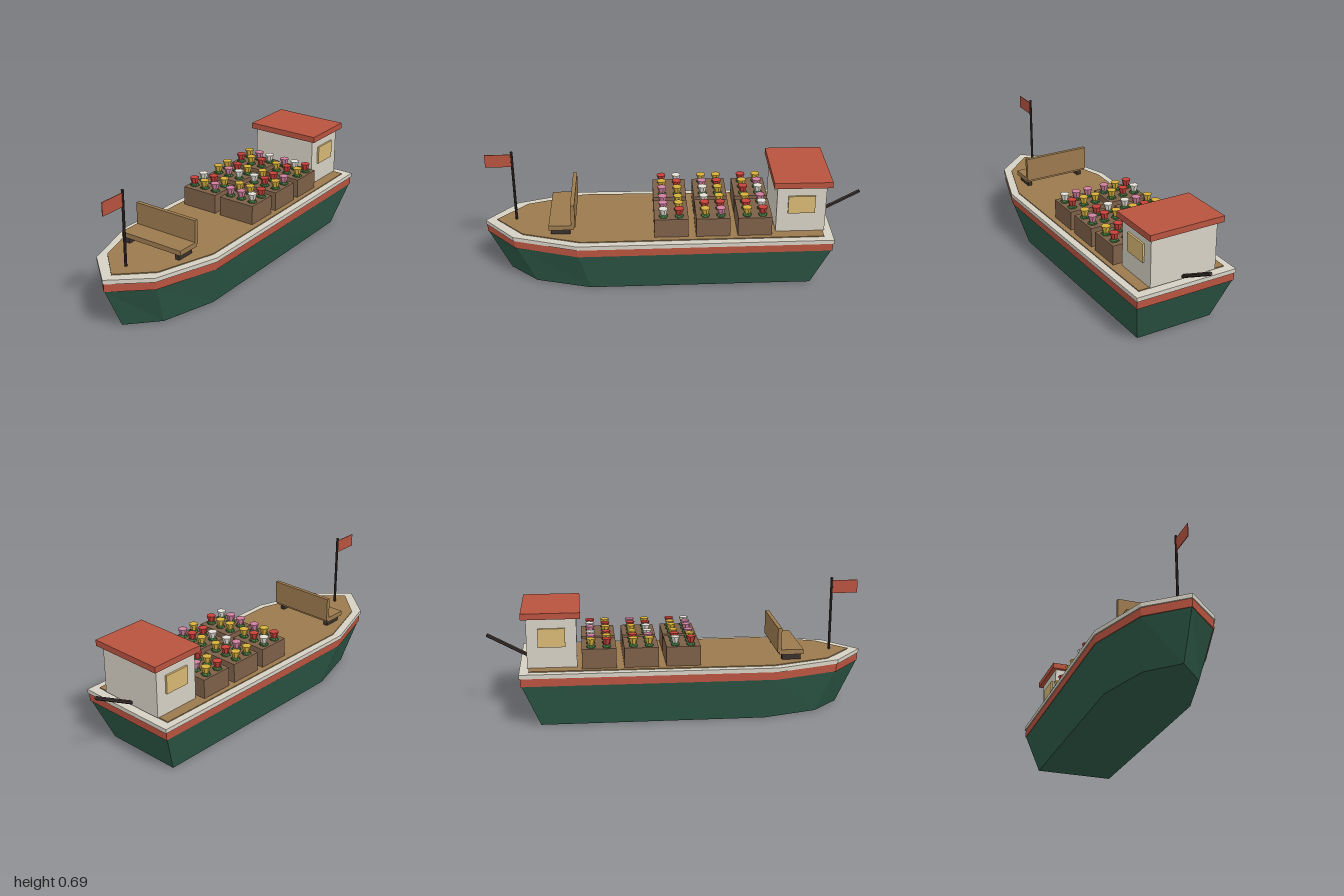
import * as THREE from 'three';

const mats = {};
const mat = (color) => (mats[color] ??= new THREE.MeshStandardMaterial({ color, flatShading: true }));

const GREEN = 0x2e5a48, RED = 0xb8533f, CREAM = 0xd6d1c4, WOOD = 0x9b7a4e;
const CRATE = 0x7d6048, DARK = 0x3a302c, GLASS = 0xd8b874, LEAF = 0x3c6e3a;
const PETALS = { R: 0xc8403a, Y: 0xd6b03c, P: 0xd080a0, W: 0xe4e0d6 };

export function createModel() {
  const boat = new THREE.Group();
  boat.name = 'flowerBarge';

  const add = (name, geometry, color, parent = boat) => {
    const mesh = new THREE.Mesh(geometry, mat(color));
    mesh.name = name;
    parent.add(mesh);
    return mesh;
  };

  // Box given by its limits on each axis
  const box = (name, color, [x0, x1], [y0, y1], [z0, z1], parent) => {
    const mesh = add(name, new THREE.BoxGeometry(x1 - x0, y1 - y0, z1 - z0), color, parent);
    mesh.position.set((x0 + x1) / 2, (y0 + y1) / 2, (z0 + z1) / 2);
    return mesh;
  };

  // Boat-shaped slab: half outline [x, z] from stern to bow, mirrored; the bottom may be narrowed
  const slab = (name, color, half, y0, y1, sx = 1, sz = 1) => {
    const other = half.filter(([x]) => x > 0).reverse().map(([x, z]) => [-x, z]);
    const shape = new THREE.Shape([...half, ...other].map(([x, z]) => new THREE.Vector2(x, -z)));
    const geo = new THREE.ExtrudeGeometry(shape, { depth: y1 - y0, bevelEnabled: false });
    geo.rotateX(-Math.PI / 2).translate(0, y0, 0);
    const p = geo.attributes.position;
    for (let i = 0; i < p.count; i++) {
      if (p.getY(i) < (y0 + y1) / 2) p.setXYZ(i, p.getX(i) * sx, p.getY(i), p.getZ(i) * sz);
    }
    geo.computeVertexNormals();
    return add(name, geo, color);
  };

  // Hull, painted band, rim and deck
  slab('hull', GREEN, [[0.274, -0.808], [0.286, 0.5], [0.18, 0.825], [0, 0.99]], 0, 0.23, 0.778, 0.89);
  slab('paintedBand', RED, [[0.276, -0.814], [0.289, 0.5], [0.182, 0.832], [0, 0.994]], 0.23, 0.273);
  slab('rim', CREAM, [[0.281, -0.82], [0.294, 0.505], [0.185, 0.84], [0, 1]], 0.273, 0.295);
  slab('deck', WOOD, [[0.243, -0.772], [0.257, 0.485], [0.16, 0.79], [0, 0.938]], 0.285, 0.3);

  // Cabin at the stern
  const cabin = new THREE.Group();
  cabin.name = 'cabin';
  boat.add(cabin);
  box('cabinWalls', CREAM, [-0.185, 0.185], [0.3, 0.56], [-0.78, -0.525], cabin);
  box('cabinRoof', RED, [-0.207, 0.207], [0.56, 0.592], [-0.805, -0.505], cabin);
  for (const s of [-1, 1]) {
    box('cabinWindow', GLASS, [s * 0.19 - 0.005, s * 0.19 + 0.005], [0.41, 0.508], [-0.723, -0.583], cabin);
  }

  // Tiller rising over the stern
  const from = new THREE.Vector3(0, 0.305, -0.765), to = new THREE.Vector3(0, 0.43, -0.993);
  const tiller = add('tiller', new THREE.CylinderGeometry(0.01, 0.01, from.distanceTo(to), 6), DARK);
  tiller.position.lerpVectors(from, to, 0.5);
  tiller.quaternion.setFromUnitVectors(new THREE.Vector3(0, 1, 0), to.clone().sub(from).normalize());

  // Crates, two by three, each with six flowers; one letter per bloom, port and starboard
  const rows = [
    ['YPWPWR', 'RYRYRY'],
    ['YRYYRP', 'YPWWRY'],
    ['WRYYYR', 'RYPPPW'],
  ];
  const leafGeo = new THREE.IcosahedronGeometry(0.026, 0).scale(1, 0.62, 1);
  const bloomGeo = new THREE.CylinderGeometry(0.025, 0.015, 0.034, 7);
  rows.forEach((pair, r) => {
    const cz = -0.413 + r * 0.216;
    for (const s of [-1, 1]) {
      const crate = new THREE.Group();
      crate.name = 'flowerCrate';
      boat.add(crate);
      box('crateBox', CRATE, [s * 0.119 - 0.103, s * 0.119 + 0.103], [0.3, 0.403], [cz - 0.088, cz + 0.088], crate);
      pair.forEach((letters, j) => {
        for (let i = 0; i < 3; i++) {
          const x = s * 0.119 + (i - 1) * 0.069, z = cz + (j - 0.5) * 0.081;
          add('leaves', leafGeo, LEAF, crate).position.set(x, 0.405, z);
          const letter = letters[i + (s > 0 ? 3 : 0)];
          add('bloom', bloomGeo, PETALS[letter], crate).position.set(x, 0.433, z);
        }
      });
    }
  });

  // Bench facing the bow
  const bench = new THREE.Group();
  bench.name = 'bench';
  boat.add(bench);
  box('benchSeat', WOOD, [-0.185, 0.185], [0.332, 0.358], [0.525, 0.652], bench);
  box('benchBack', WOOD, [-0.185, 0.185], [0.345, 0.474], [0.515, 0.536], bench);
  for (const s of [-1, 1]) {
    box('benchLeg', DARK, [s * 0.157 - 0.012, s * 0.157 + 0.012], [0.3, 0.332], [0.543, 0.642], bench);
  }

  // Flag on the bow
  const pole = add('flagPole', new THREE.CylinderGeometry(0.007, 0.007, 0.397, 8), DARK);
  pole.position.set(0, 0.4965, 0.835);
  box('flag', RED, [-0.002, 0.002], [0.61, 0.68], [0.838, 0.975]);

  return boat;
}
